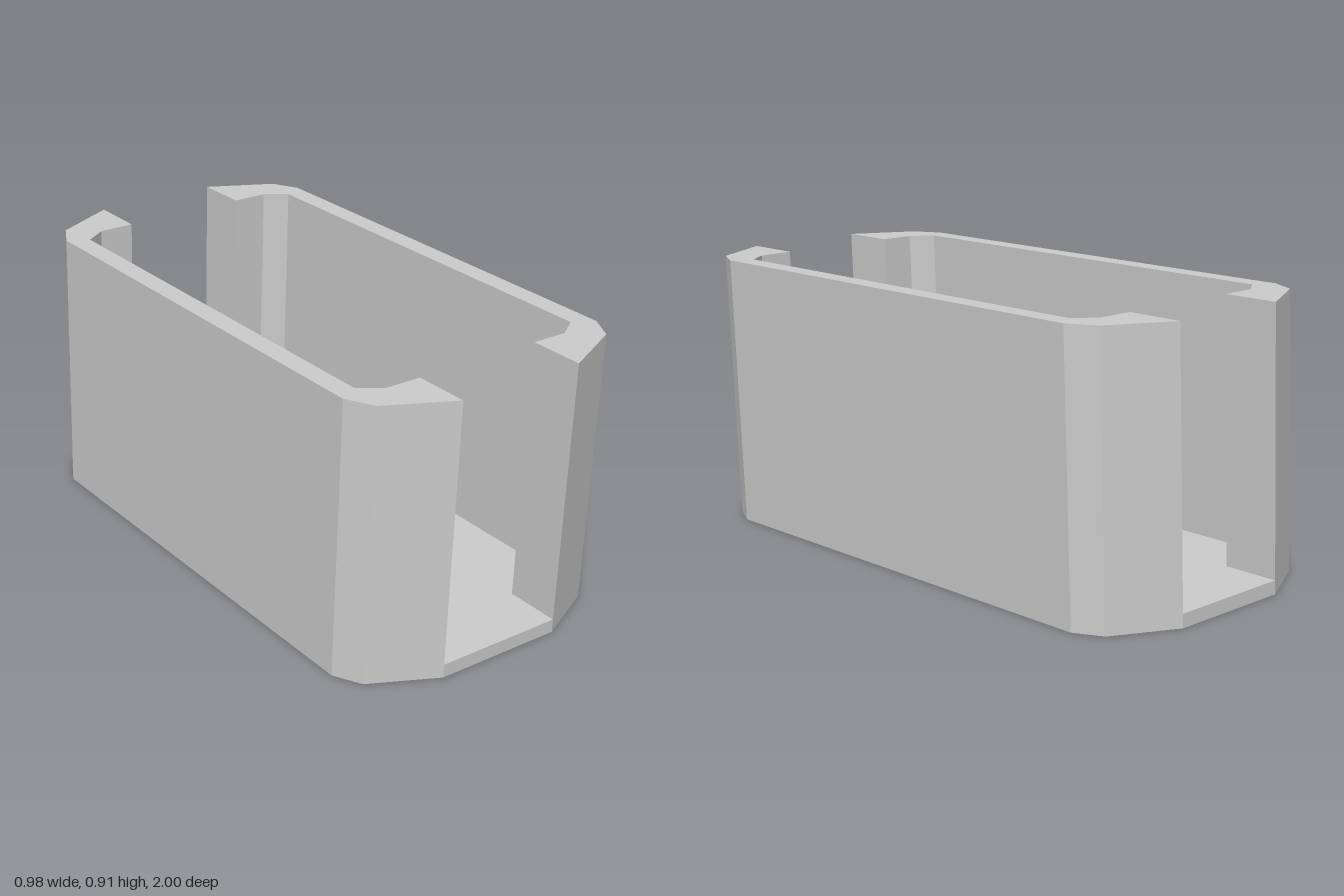
import * as THREE from 'three';

const HEIGHT = 0.913, FLOOR = 0.045;
const SHEAR_X = 0.017, SHEAR_Z = 0.024;

// Corner of the outer footprint, from the long side round to the end slot
const OUTER = [[0.48, 0.785], [0.432, 0.877], [0.217, 0.988]];
// Cavity corner, from the lip's slot face round to the long inner side
const INNER = [[0.217, 0.797], [0.338, 0.797], [0.411, 0.745]];

// Extrudes a plan outline (x, z) upwards and leans it with the whole tray
function prism(points, y0, y1, material, name) {
  const shape = new THREE.Shape(points.map(([x, z]) => new THREE.Vector2(x, -z)));
  const geometry = new THREE.ExtrudeGeometry(shape, { depth: y1 - y0, bevelEnabled: false });
  geometry.rotateX(-Math.PI / 2).translate(0, y0, 0);
  const p = geometry.attributes.position;
  for (let i = 0; i < p.count; i++) {
    const t = p.getY(i) / HEIGHT - 0.5;
    p.setX(i, p.getX(i) + SHEAR_X * t);
    p.setZ(i, p.getZ(i) + SHEAR_Z * t);
  }
  geometry.computeVertexNormals();
  const mesh = new THREE.Mesh(geometry, material);
  mesh.name = name;
  return mesh;
}

const flip = (points, sx, sz) => points.map(([x, z]) => [x * sx, z * sz]);

export function createModel() {
  const group = new THREE.Group();
  group.name = 'slottedTray';
  const material = new THREE.MeshStandardMaterial({ color: 0xcccccc, flatShading: true });

  // Floor: the full chamfered footprint
  const half = [...OUTER, ...flip(OUTER, -1, 1).reverse()];
  const footprint = [...half, ...flip(half, -1, -1)];
  group.add(prism(footprint, 0, FLOOR, material, 'floor'));

  // Side walls: C-shaped plan with a thick lip beside each end slot
  const frontCorner = [...OUTER, ...INNER];
  const wall = [...frontCorner, ...flip(frontCorner, 1, -1).reverse()];
  for (const [side, name] of [[1, 'leftWall'], [-1, 'rightWall']]) {
    group.add(prism(flip(wall, side, 1), FLOOR, HEIGHT, material, name));
  }
  return group;
}
